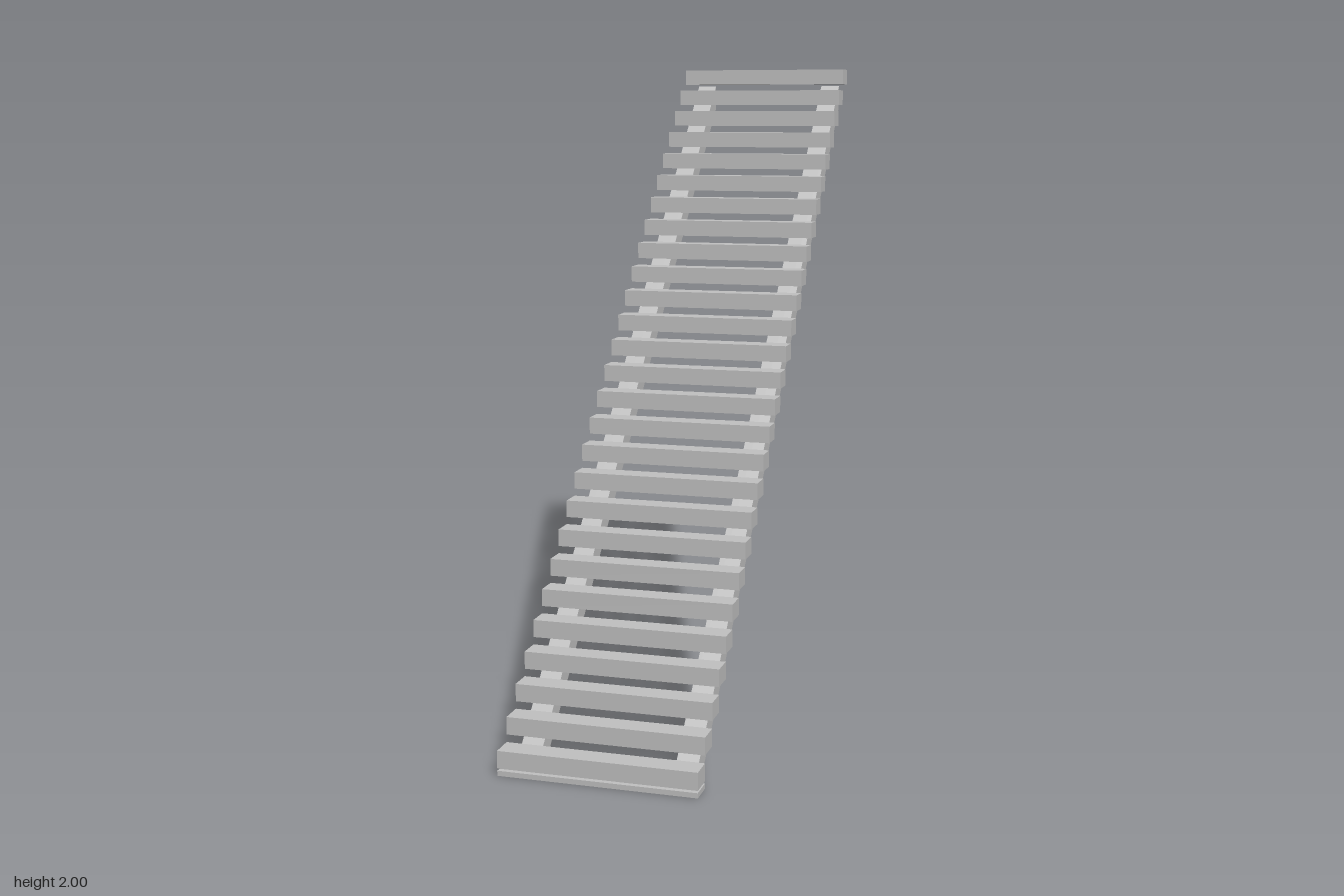
import * as THREE from 'three';

export function createModel() {
  const model = new THREE.Group();
  model.name = 'staircase';

  const grey = new THREE.MeshStandardMaterial({ color: 0xc0c0c0 });
  grey.name = 'light grey';

  const steps = 27, width = 0.588, half = 0.984;
  const run = (2 * half) / steps, rise = 0.0741, thickness = 0.052;

  function addPart(name, geometry, x, y, z) {
    const mesh = new THREE.Mesh(geometry, grey);
    mesh.name = name;
    mesh.position.set(x, y, z);
    model.add(mesh);
  }

  // Treads climbing from the front to the back
  const treadGeometry = new THREE.BoxGeometry(width, thickness, run - 0.001);
  for (let i = 0; i < steps; i++) {
    const y = 2 - thickness / 2 - (steps - 1 - i) * rise;
    addPart(`tread${i + 1}`, treadGeometry, 0, y, half - run * (i + 0.5));
  }

  // Thin foot plate under the lowest tread
  const plate = 0.015;
  addPart('footPlate', new THREE.BoxGeometry(width, plate, run), 0, plate / 2, half - run / 2);

  // Sloping stringers, cut level at the floor and plumb at the top
  const profile = new THREE.Shape([
    [-0.924, 0], [-0.846, 0], [half, 1.86], [half, 1.942],
  ].map(([u, y]) => new THREE.Vector2(u, y)));
  const beam = 0.065;
  const stringerGeometry = new THREE.ExtrudeGeometry(profile, { depth: beam, bevelEnabled: false });
  stringerGeometry.translate(0, 0, -beam / 2).rotateY(Math.PI / 2);
  for (const [name, side] of [['leftStringer', 1], ['rightStringer', -1]]) {
    addPart(name, stringerGeometry, side * 0.232, 0, 0);
  }

  return model;
}
